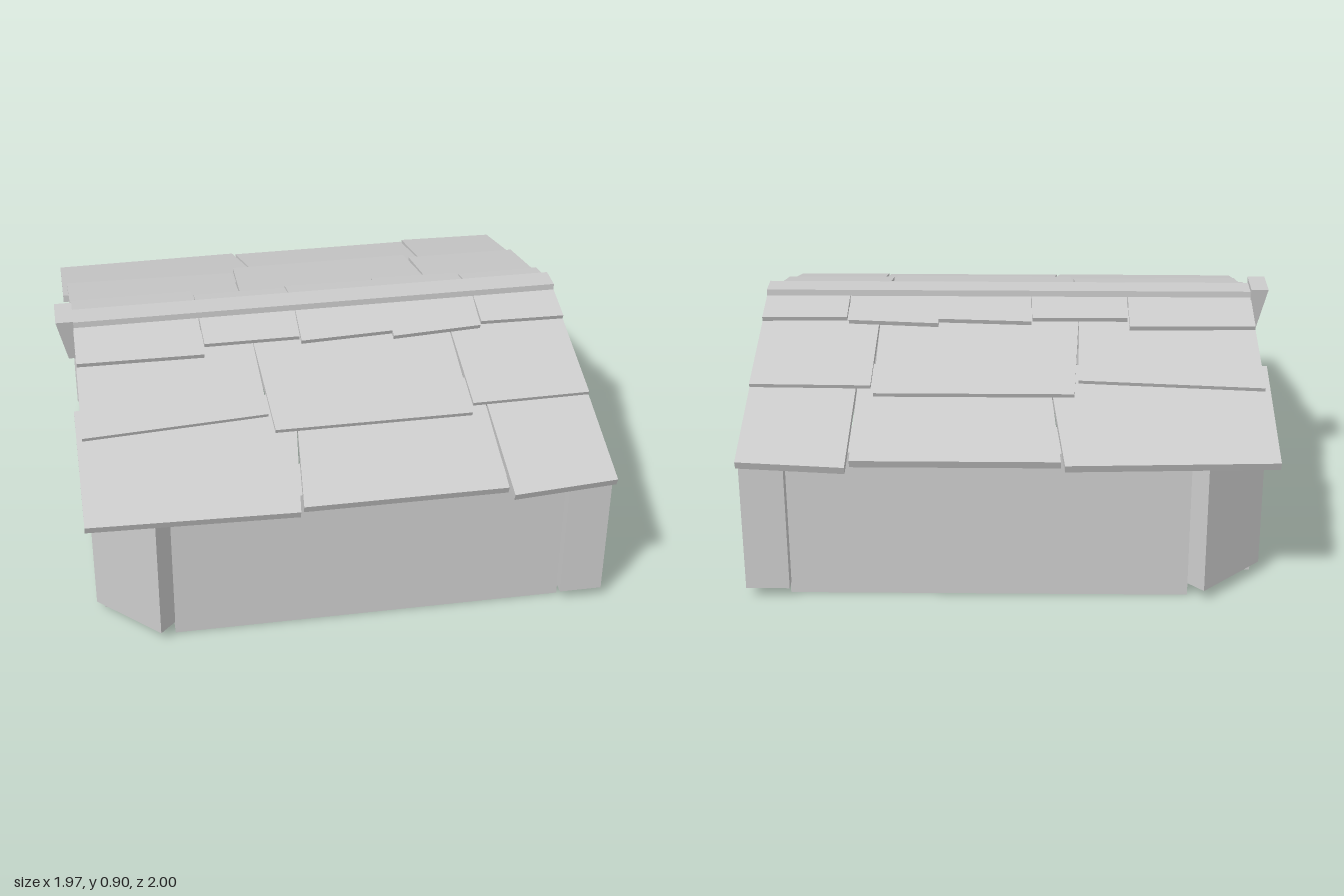
import * as THREE from 'three';

const material = new THREE.MeshStandardMaterial({ color: 0xcccccc, flatShading: true });

// Roof courses: top plane passes through (z, y); board = [xL, xR, outer z at xL, outer z at xR, xL inner, xR inner]
const courses = [
  { name: 'eaveBoard', z: 1, y: 0.573, slope: 0.285, inner: 0.44, thick: 0.03, boards: [
    [-0.945, -0.182, 0.965, 0.985, -0.945, -0.12],
    [-0.168, 0.582, 0.965, 0.965, -0.12, 0.585],
    [0.595, 0.985, 1.0, 0.975, 0.588, 0.985]] },
  { name: 'middleBoard', z: 0.63, y: 0.697, slope: 0.255, inner: 0.1, thick: 0.028, boards: [
    [-0.925, -0.235, 0.59, 0.55, -0.92, -0.245],
    [-0.22, 0.522, 0.63, 0.63, -0.245, 0.528],
    [0.535, 0.985, 0.585, 0.58, 0.53, 0.985]] },
  { name: 'upperBoard', z: 0.25, y: 0.815, slope: 0.225, inner: 0.03, thick: 0.024, boards: [
    [-0.92, -0.437, 0.245, 0.25, -0.92, -0.437],
    [-0.43, -0.062, 0.195, 0.195, -0.434, -0.058],
    [-0.058, 0.3, 0.22, 0.205, -0.056, 0.3],
    [0.3, 0.648, 0.235, 0.215, 0.3, 0.655],
    [0.656, 0.985, 0.195, 0.2, 0.657, 0.985]] },
];

function addMesh(group, name, geometry) {
  const mesh = new THREE.Mesh(geometry, material);
  mesh.name = name;
  group.add(mesh);
  return mesh;
}

// Extrudes a (z, y) outline from x0 to x1
function extrudeX(points, x0, x1) {
  const shape = new THREE.Shape(points.map(([z, y]) => new THREE.Vector2(z, y)));
  return new THREE.ExtrudeGeometry(shape, { depth: x1 - x0, bevelEnabled: false })
    .rotateY(-Math.PI / 2).translate(x1, 0, 0);
}

// Moves every vertex of a geometry by a rule
function reshape(geometry, rule) {
  const p = geometry.attributes.position;
  const v = new THREE.Vector3();
  for (let i = 0; i < p.count; i++) {
    rule(v.fromBufferAttribute(p, i));
    p.setXYZ(i, v.x, v.y, v.z);
  }
  geometry.computeVertexNormals();
  return geometry;
}

// One sloping roof board on the front (side 1) or back (side -1)
function roofBoard(course, [xL, xR, zL, zR, xLi, xRi], side) {
  return reshape(new THREE.BoxGeometry(1, 1, 1), (v) => {
    const right = v.x > 0, bottom = v.y < 0, outer = v.z * side > 0;
    const z = outer ? (right ? zR : zL) : course.inner;
    v.x = outer ? (right ? xR : xL) : (right ? xRi : xLi);
    v.y = course.y + course.slope * (course.z - z) - (bottom ? course.thick : 0);
    v.z = side * (z - (bottom && outer ? course.thick * 0.4 : 0));
  });
}

export function createModel() {
  const model = new THREE.Group();
  model.name = 'roofedShelter';

  // Gable wall closing the left-hand end seen from the front; the other end is open
  const gable = [[0.69, 0], [0.69, 0.62], [0.45, 0.69], [0.1, 0.805], [0, 0.84]];
  const gableOutline = [...gable, ...gable.slice(0, 4).reverse().map(([z, y]) => [-z, y])];
  addMesh(model, 'gableWall', extrudeX(gableOutline, -0.89, -0.75));

  for (const side of [1, -1]) {
    const label = side > 0 ? 'front' : 'back';
    const mirror = (pts) => pts.map(([z, y]) => [z * side, y]);

    // Long side wall
    addMesh(model, label + 'Wall',
      extrudeX(mirror([[0.74, 0], [0.88, 0], [0.88, 0.575], [0.74, 0.615]]), -0.64, 0.825));

    // Square post at the open end
    addMesh(model, label + 'EndPost',
      extrudeX(mirror([[0.71, 0.045], [0.93, 0.045], [0.93, 0.563], [0.71, 0.622]]), 0.822, 0.982));

    // Corner post turned by 45 degrees, trimmed under the roof
    const post = new THREE.BoxGeometry(0.315, 0.56, 0.315)
      .rotateY(Math.PI / 4).translate(-0.697, 0.325, 0.707 * side);
    addMesh(model, label + 'CornerPost', reshape(post, (v) => {
      if (v.y > 0.3 && Math.abs(v.z) > 0.8) v.y = 0.563;
    }));

    // Overlapping roof boards
    for (const course of courses) {
      for (const board of course.boards) {
        addMesh(model, label + '_' + course.name, roofBoard(course, board, side));
      }
    }
  }

  // Ridge beam
  addMesh(model, 'ridgeBeam',
    new THREE.BoxGeometry(1.905, 0.055, 0.1).translate(0.0325, 0.857, 0));

  // Tapered block at the end of the ridge
  addMesh(model, 'ridgeEndBlock', reshape(new THREE.BoxGeometry(1, 1, 1), (v) => {
    const top = v.y > 0;
    v.x = v.x > 0 ? -0.918 : (top ? -0.985 : -0.945);
    v.z = Math.sign(v.z) * (top ? 0.075 : 0.04);
    v.y = top ? 0.902 : 0.72;
  }));

  return model;
}
